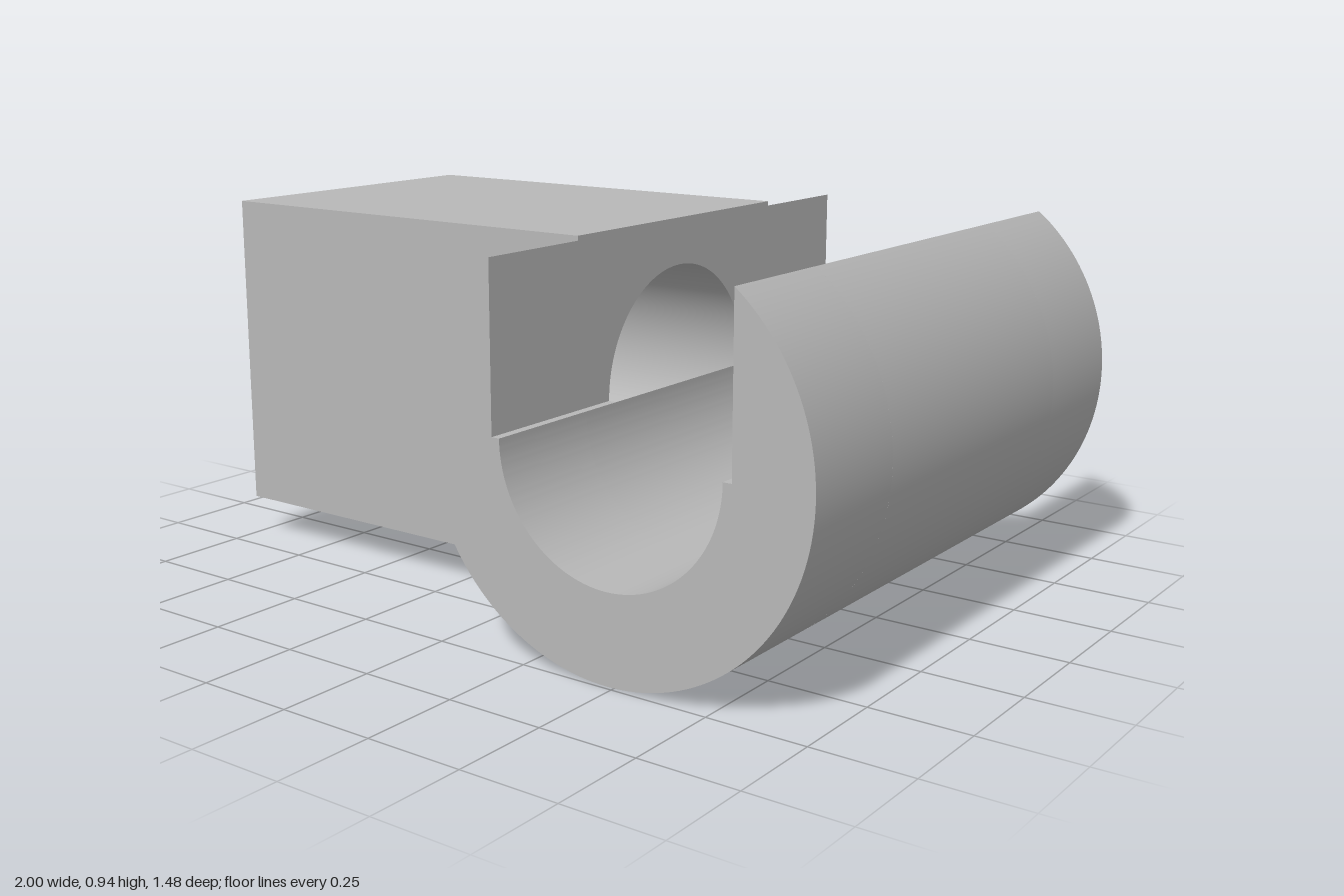
import * as THREE from 'three';
import { toCreasedNormals } from 'three/addons/utils/BufferGeometryUtils.js';

const CX = 0.48, CY = 0.52;        // cradle axis
const R = 0.52, BORE = 0.3;        // outer and inner radius
const SLOT = 0.322;                // half width of the open slot
const HALF_LENGTH = 0.74, BLOCK_HALF = 0.42;
const WALL_X = CX - SLOT, LIP_X = CX - BORE;

function extrude(shape, depth) {
  const g = new THREE.ExtrudeGeometry(shape, { depth, bevelEnabled: false, curveSegments: 64 });
  return toCreasedNormals(g, 0.5);
}

// Open trough section; startX is where the left side is cut off
function cradleProfile(full) {
  const rim = Math.acos(SLOT / R);
  const s = new THREE.Shape();
  s.moveTo(LIP_X, CY);
  let start;
  if (full) {
    s.lineTo(WALL_X, CY);
    start = Math.PI - rim;
  } else {
    start = Math.PI + Math.acos(BORE / R);
  }
  s.lineTo(CX + R * Math.cos(start), CY + R * Math.sin(start));
  s.absarc(CX, CY, R, start, rim, false);
  s.lineTo(CX + SLOT, CY);
  s.lineTo(CX + BORE, CY);
  s.absarc(CX, CY, BORE, 0, -Math.PI, true);
  return s;
}

export function createModel() {
  const model = new THREE.Group();
  const grey = new THREE.MeshStandardMaterial({ color: 0xb8b8b8 });
  grey.name = 'grey';

  function add(name, geometry) {
    const mesh = new THREE.Mesh(geometry, grey);
    mesh.name = name;
    model.add(mesh);
  }

  // Cradle: two full ends and a middle that leaves room for the bore
  const endLength = HALF_LENGTH - BLOCK_HALF;
  add('cradleFront', extrude(cradleProfile(true), endLength).translate(0, 0, BLOCK_HALF));
  add('cradleBack', extrude(cradleProfile(true), endLength).translate(0, 0, -HALF_LENGTH));
  add('cradleMiddle', extrude(cradleProfile(false), 2 * BLOCK_HALF).translate(0, 0, -BLOCK_HALF));

  // Square block with a round bore along x
  const bottom = 0.105, top = 0.94;
  const square = new THREE.Shape();
  square.moveTo(-BLOCK_HALF, bottom);
  square.lineTo(BLOCK_HALF, bottom);
  square.lineTo(BLOCK_HALF, top);
  square.lineTo(-BLOCK_HALF, top);
  square.closePath();
  const hole = new THREE.Path();
  hole.absarc(0, CY, BORE, 0, Math.PI * 2, true);
  square.holes.push(hole);
  add('boredBlock', extrude(square, WALL_X + 1).rotateY(Math.PI / 2).translate(-1, 0, 0));

  // Narrow ledge beside the trough, notched where the bore runs out
  const ledge = new THREE.Shape();
  ledge.moveTo(-BLOCK_HALF, bottom);
  ledge.lineTo(BLOCK_HALF, bottom);
  ledge.lineTo(BLOCK_HALF, CY);
  ledge.lineTo(BORE, CY);
  ledge.absarc(0, CY, BORE, 0, -Math.PI, true);
  ledge.lineTo(-BLOCK_HALF, CY);
  add('notchedLedge', extrude(ledge, LIP_X - WALL_X).rotateY(Math.PI / 2).translate(WALL_X, 0, 0));

  return model;
}
